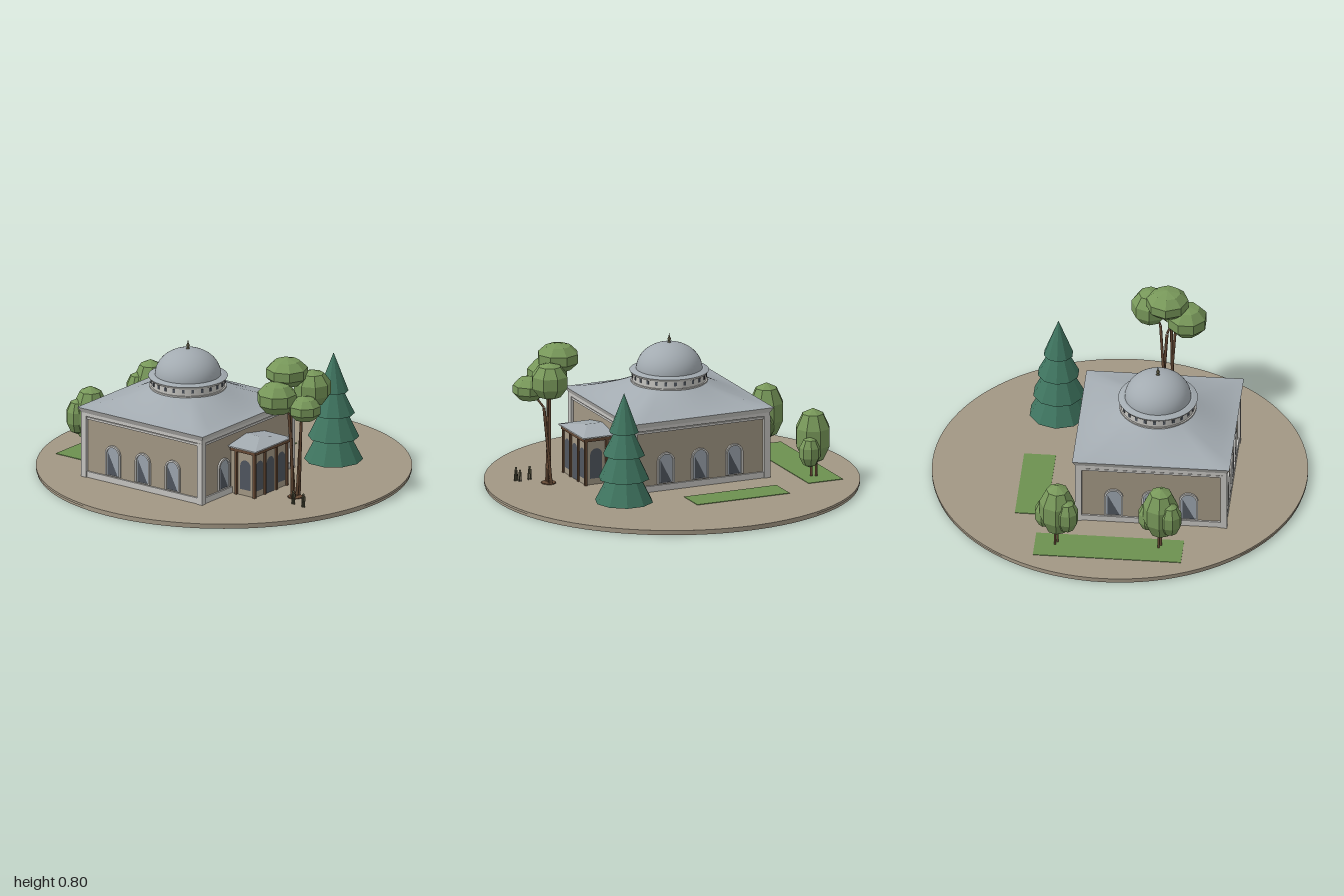
import * as THREE from 'three';

const mat = (name, color, extra = {}) => {
  const m = new THREE.MeshStandardMaterial({ color, ...extra });
  m.name = name;
  return m;
};

export function createModel() {
  const stone = mat('tan stone', 0xa29784);
  const trim = mat('pale trim', 0xc6c5c1);
  const lead = mat('lead roof', 0xa3abb1, { side: THREE.DoubleSide });
  const pane = mat('pale glass', 0x9ca5ae);
  const glass = mat('dark glass', 0x50565f);
  const bark = mat('bark', 0x664a35);
  const leaf = mat('leaf green', 0x78985a, { flatShading: true });
  const pine = mat('pine green', 0x3f7560, { flatShading: true });
  const lawn = mat('lawn green', 0x6c9150);
  const bronze = mat('dark bronze', 0x55533f);

  const root = new THREE.Group();
  root.name = 'domedHallOnGround';
  const group = (name, x = 0, y = 0, z = 0, parent = root) => {
    const g = new THREE.Group();
    g.name = name;
    g.position.set(x, y, z);
    parent.add(g);
    return g;
  };
  const add = (parent, name, geo, m, x = 0, y = 0, z = 0) => {
    const mesh = new THREE.Mesh(geo, m);
    mesh.name = name;
    mesh.position.set(x, y, z);
    parent.add(mesh);
    return mesh;
  };
  // box given by its bottom height and top height
  const block = (parent, name, m, w, y0, y1, d, x = 0, z = 0) =>
    add(parent, name, new THREE.BoxGeometry(w, y1 - y0, d), m, x, (y0 + y1) / 2, z);
  const disc = (parent, name, m, rTop, rBottom, y0, y1, seg = 48) =>
    add(parent, name, new THREE.CylinderGeometry(rTop, rBottom, y1 - y0, seg), m, 0, (y0 + y1) / 2, 0);

  // ground and lawns
  const G = 0.027;
  disc(root, 'groundRim', stone, 0.995, 0.995, 0, 0.018, 96);
  disc(root, 'groundTop', stone, 1, 1, 0.015, G, 96);
  block(root, 'backLawn', lawn, 0.79, G, G + 0.003, 0.2, -0.005, -0.72);
  block(root, 'sideLawn', lawn, 0.17, G, G + 0.003, 0.54, 0.435, -0.18);

  // hall: walls, plinth, corner posts, cornice
  const hall = group('hall', -0.21, 0, -0.08);
  block(hall, 'walls', stone, 0.78, G, 0.37, 0.78);
  block(hall, 'plinth', trim, 0.8, G, 0.06, 0.8);
  for (const sx of [-1, 1]) for (const sz of [-1, 1])
    block(hall, 'cornerPost', trim, 0.035, G, 0.37, 0.035, sx * 0.388, sz * 0.388);
  block(hall, 'corniceMoulding', trim, 0.8, 0.352, 0.364, 0.8);
  block(hall, 'corniceBand', trim, 0.81, 0.369, 0.392, 0.81);
  const flare = new THREE.CylinderGeometry(0.42 * Math.SQRT2, 0.405 * Math.SQRT2, 0.028, 4).toNonIndexed();
  flare.rotateY(Math.PI / 4);
  flare.computeVertexNormals();
  add(hall, 'corniceFlare', flare, trim, 0, 0.401, 0);

  // swept roof: square at the eaves, round under the drum
  const rings = 10, around = 64, pos = [], idx = [];
  for (let i = 0; i <= rings; i++) {
    const t = i / rings, half = 0.42 - 0.23 * t, y = 0.415 + 0.1 * Math.pow(t, 1.25);
    for (let j = 0; j <= around; j++) {
      const a = (j / around) * Math.PI * 2, c = Math.cos(a), s = Math.sin(a);
      const square = 1 / Math.max(Math.abs(c), Math.abs(s));
      const r = half * THREE.MathUtils.lerp(square, 1, t);
      pos.push(r * c, y, -r * s);
      if (i < rings && j < around) {
        const p = i * (around + 1) + j, q = p + around + 1;
        idx.push(p, p + 1, q, p + 1, q + 1, q);
      }
    }
  }
  const sweep = new THREE.BufferGeometry();
  sweep.setAttribute('position', new THREE.Float32BufferAttribute(pos, 3));
  sweep.setIndex(idx);
  sweep.computeVertexNormals();
  add(hall, 'sweptRoof', sweep, lead);

  // drum, dome and finial
  disc(hall, 'drumBase', trim, 0.205, 0.205, 0.495, 0.515);
  disc(hall, 'drum', trim, 0.197, 0.197, 0.51, 0.56);
  disc(hall, 'drumCornice', trim, 0.212, 0.204, 0.555, 0.568);
  disc(hall, 'drumCap', lead, 0.185, 0.212, 0.568, 0.577);
  for (let i = 0; i < 24; i++) {
    const a = (i / 24) * Math.PI * 2;
    const slot = block(hall, 'drumSlot', glass, 0.014, 0.53, 0.55, 0.006, Math.sin(a) * 0.197, Math.cos(a) * 0.197);
    slot.rotation.y = a;
  }
  const dome = add(hall, 'dome', new THREE.SphereGeometry(0.177, 40, 16, 0, Math.PI * 2, 0, Math.PI / 2), lead, 0, 0.572, 0);
  dome.scale.y = 0.82;
  const finial = [[0.012, 0], [0.005, 0.01], [0.01, 0.022], [0.004, 0.034], [0, 0.055]];
  add(hall, 'finial', new THREE.LatheGeometry(finial.map(p => new THREE.Vector2(...p)), 12), bronze, 0, 0.714, 0);

  // arched openings
  const arch = (w, y0, top, Kind = THREE.Shape) => {
    const r = w / 2, s = new Kind();
    s.moveTo(-r, y0);
    s.lineTo(r, y0);
    s.lineTo(r, top - r);
    s.absarc(0, top - r, r, 0, Math.PI, false);
    s.closePath();
    return s;
  };
  const archWindow = (parent, x) => {
    const w = group('archedWindow', x, 0, 0, parent);
    const ring = arch(0.1, 0.065, 0.235);
    ring.holes.push(arch(0.08, 0.068, 0.225, THREE.Path));
    add(w, 'windowFrame', new THREE.ExtrudeGeometry(ring, { depth: 0.01, bevelEnabled: false }), trim);
    add(w, 'windowPane', new THREE.ShapeGeometry(arch(0.08, 0.068, 0.225)), pane, 0, 0, 0.003);
    const half = new THREE.Shape([[-0.032, 0.07], [0.032, 0.07], [-0.032, 0.195]].map(p => new THREE.Vector2(...p)));
    add(w, 'darkPane', new THREE.ShapeGeometry(half), glass, 0, 0, 0.006);
  };
  for (let side = 0; side < 4; side++) {
    const a = side * Math.PI / 2;
    const face = group('wallFace', Math.sin(a) * 0.39, 0, Math.cos(a) * 0.39, hall);
    face.rotation.y = a;
    for (const x of [-0.2, 0, 0.2]) if (side || x) archWindow(face, x);
  }

  // porch with timber posts and a low hipped roof
  const porch = group('porch', -0.21, 0, 0);
  block(porch, 'porchWalls', stone, 0.27, G, 0.28, 0.17, 0, 0.385);
  block(porch, 'porchBeam', bark, 0.3, 0.268, 0.287, 0.17, 0, 0.4);
  for (const x of [-0.14, -0.05, 0.05, 0.14])
    block(porch, 'porchPost', bark, 0.014, G, 0.27, 0.014, x, 0.473);
  for (const sx of [-1, 1]) {
    block(porch, 'sidePost', bark, 0.014, G, 0.27, 0.014, sx * 0.14, 0.35);
    const opening = add(porch, 'sideOpening', new THREE.ShapeGeometry(arch(0.07, 0.06, 0.225)), glass, sx * 0.137, 0, 0.41);
    opening.rotation.y = sx * Math.PI / 2;
  }
  for (const x of [-0.095, 0, 0.095])
    add(porch, 'frontOpening', new THREE.ShapeGeometry(arch(0.065, x ? 0.06 : G, 0.225)), glass, x, 0, 0.472);
  block(porch, 'porchEave', trim, 0.32, 0.287, 0.294, 0.18, 0, 0.405);
  const hip = new THREE.BufferGeometry();
  const L = [-0.16, 0.294, 0.495], R = [0.16, 0.294, 0.495], LB = [-0.16, 0.294, 0.3];
  const RB = [0.16, 0.294, 0.3], P = [0, 0.322, 0.4], PB = [0, 0.322, 0.3];
  hip.setAttribute('position', new THREE.Float32BufferAttribute(
    [L, R, P, R, RB, P, RB, PB, P, LB, L, P, LB, P, PB].flat(), 3));
  hip.computeVertexNormals();
  add(porch, 'porchRoof', hip, lead);

  // trees
  const blob = (parent, x, y, z, r, h, turn = 0) => {
    const b = add(parent, 'foliage', new THREE.SphereGeometry(1, 8, 5), leaf, x, y, z);
    b.scale.set(r, h / 2, r);
    b.rotation.y = turn;
  };
  const trunk = (parent, a, b, r) => {
    const path = new THREE.LineCurve3(new THREE.Vector3(...a), new THREE.Vector3(...b));
    add(parent, 'trunk', new THREE.TubeGeometry(path, 1, r, 6), bark);
  };
  const tall = group('tallTree');
  const crowns = [[-0.2, 0.715, 0.575, 0.118, 0.16], [-0.305, 0.6, 0.59, 0.112, 0.185],
    [-0.1, 0.62, 0.67, 0.105, 0.205], [-0.24, 0.55, 0.725, 0.092, 0.14]];
  crowns.forEach(([x, y, z, r, h], i) => {
    blob(tall, x, y, z, r, h, i * 0.4);
    const foot = -0.225 + 0.02 * i;
    trunk(tall, [foot, G, 0.63], [(x + foot * 2) / 3, y - 0.1, (z + 1.26) / 3], 0.008);
    trunk(tall, [(x + foot * 2) / 3, y - 0.1, (z + 1.26) / 3], [x, y, z], 0.006);
  });
  add(tall, 'soil', new THREE.CylinderGeometry(0.04, 0.04, 0.006, 12), bark, -0.2, G + 0.002, 0.63);

  for (const [x, z] of [[-0.28, -0.68], [0.27, -0.7]]) {
    const t = group('roundTree', x, 0, z);
    blob(t, 0, 0.25, 0, 0.1, 0.31);
    blob(t, -0.055, 0.24, -0.045, 0.065, 0.2, 0.3);
    blob(t, 0.07, 0.185, 0.05, 0.06, 0.17, 0.5);
    trunk(t, [0, G, 0.01], [0, 0.2, 0.01], 0.007);
    trunk(t, [0.01, G, -0.015], [0.01, 0.2, -0.015], 0.006);
  }

  // tiered pine
  const tiers = [[0, 0.033], [0.157, 0.055], [0.085, 0.195], [0.137, 0.182], [0.068, 0.325],
    [0.113, 0.312], [0.046, 0.45], [0.08, 0.437], [0, 0.65]];
  add(root, 'pineTree', new THREE.LatheGeometry(tiers.map(p => new THREE.Vector2(...p)), 10), pine, 0.37, 0, 0.45);

  // small standing figures
  for (const [x, z, s] of [[-0.31, 0.77, 1], [-0.29, 0.755, 0.85], [-0.3, 0.695, 1]]) {
    const f = group('figure', x, G, z);
    f.scale.setScalar(s);
    for (const d of [-1, 1]) {
      block(f, 'leg', bronze, 0.006, 0, 0.036, 0.007, 0, d * 0.006);
      block(f, 'arm', bronze, 0.005, 0.03, 0.058, 0.005, d * 0.011, 0);
    }
    block(f, 'torso', bronze, 0.016, 0.034, 0.06, 0.012);
    add(f, 'head', new THREE.SphereGeometry(0.007, 8, 6), bronze, 0, 0.069, 0);
  }
  return root;
}
